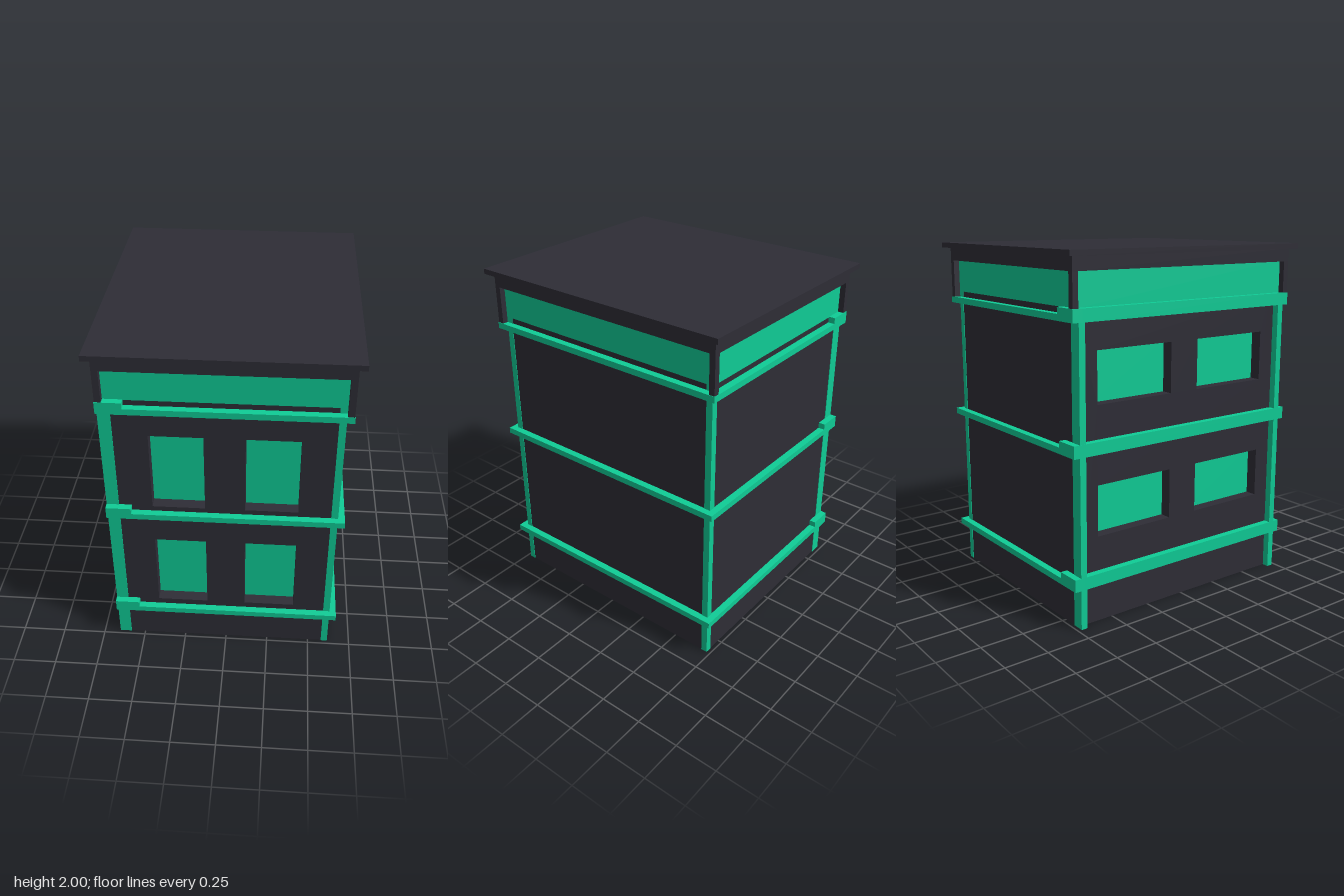
import * as THREE from 'three';

export function createModel() {
  const group = new THREE.Group();
  const dark = new THREE.MeshStandardMaterial({ color: 0x2e2d36 });
  dark.name = 'charcoal';
  const green = new THREE.MeshStandardMaterial({ color: 0x0fcc96 });
  green.name = 'jade green';

  const add = (name, geometry, material) => {
    const mesh = new THREE.Mesh(geometry, material);
    mesh.name = name;
    group.add(mesh);
    return mesh;
  };
  // Box from minimum and maximum extents
  const box = (name, material, x0, x1, y0, y1, z0, z1) => {
    const geometry = new THREE.BoxGeometry(x1 - x0, y1 - y0, z1 - z0);
    geometry.translate((x0 + x1) / 2, (y0 + y1) / 2, (z0 + z1) / 2);
    return add(name, geometry, material);
  };
  const rectangle = (target, x0, x1, y0, y1) => target
    .moveTo(x0, y0).lineTo(x1, y0).lineTo(x1, y1).lineTo(x0, y1).closePath();

  const W = 0.615, D = 0.725, H = 1.71, recess = 0.07;
  const skin = 0.003, band = 0.035;

  // Wall slab with window openings, outer face towards +z
  const wallGeometry = (x0, x1, windows) => {
    const shape = rectangle(new THREE.Shape(), x0, x1, 0, H);
    for (const w of windows) shape.holes.push(rectangle(new THREE.Path(), ...w));
    return new THREE.ExtrudeGeometry(shape, { depth: recess, bevelEnabled: false });
  };
  const windowGrid = (inner, outer, height) => [0.77, 1.49].flatMap(top =>
    [[-outer, -inner], [inner, outer]].map(([a, b]) => [a, b, top - height, top]));
  const frontWindows = windowGrid(0.11, 0.4, 0.475);
  const sideWindows = windowGrid(0.095, 0.59, 0.285);

  // Body core and the two walls that carry windows
  box('bodyCore', dark, -W + recess, W, 0, H, -D, D - recess);
  add('frontWall', wallGeometry(-W, W, frontWindows), dark).position.z = D - recess;
  const sideWall = add('leftWall', wallGeometry(-D, D - recess, sideWindows), dark);
  sideWall.rotation.y = -Math.PI / 2;
  sideWall.position.x = -W + recess;

  // Window panes at the back of each opening
  for (const [a, b, y0, y1] of frontWindows)
    box('frontPane', green, a, b, y0, y1, D - recess - 0.002, D - recess + 0.004);
  for (const [a, b, y0, y1] of sideWindows)
    box('leftPane', green, -W + recess - 0.004, -W + recess + 0.002, y0, y1, a, b);

  // Corner pillars, broader on the windowed left side
  for (const s of [-1, 1]) {
    const z0 = s > 0 ? 0.69 : -D - skin, z1 = s > 0 ? D + skin : -0.69;
    box('rightPillar', green, 0.58, W + skin, 0, H, z0, z1);
    box('leftPillar', green, -0.654, -0.585, 0, H, z0, z1);
  }

  // Floor bands with a taller run on the left that wraps both corners
  const bx = W + 0.04, bz = D + 0.04;
  for (const y of [0.223, 0.95, 1.643]) {
    const tall = y + 0.07, low = y + band;
    for (const s of [-1, 1]) {
      const z0 = s > 0 ? D - 0.02 : -bz, z1 = s > 0 ? bz : -D + 0.02;
      box('floorBand', green, -0.515, bx, y, low, z0, z1);
      box('cornerBand', green, -bx, -0.515, y, tall, z0, z1);
    }
    box('rightBand', green, W - 0.02, bx, y, low, -D + 0.02, D - 0.02);
    box('leftBand', green, -bx, -W + 0.02, y, tall, -D + 0.02, D - 0.02);
  }

  // Recessed frieze panel framed by a lintel and corner posts
  box('friezePanel', green, -W - skin, W + skin, H, 1.9, -D - skin, D + skin);
  box('friezeLintel', dark, -0.652, 0.652, 1.895, 1.97, -0.762, 0.762);
  for (const sx of [-1, 1]) for (const sz of [-1, 1]) {
    const post = new THREE.BoxGeometry(0.034, 0.225, 0.034);
    add('friezePost', post, dark).position.set(sx * 0.635, 1.7835, sz * 0.745);
  }

  // Flat overhanging roof
  box('roof', dark, -0.69, 0.69, 1.97, 2, -0.8, 0.8);

  return group;
}
